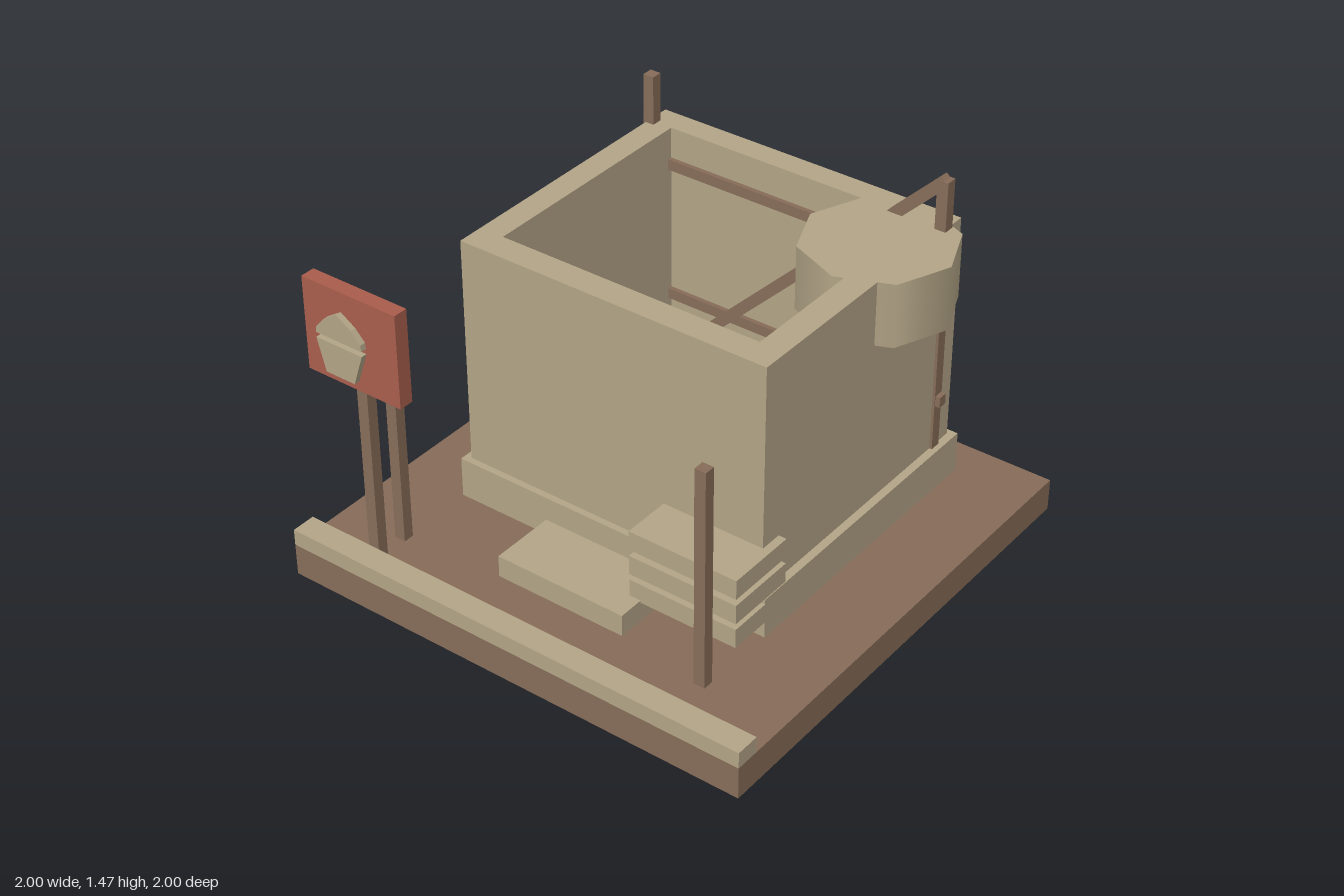
import * as THREE from 'three';

export function createModel() {
  const model = new THREE.Group();
  const flat = (name, color) => {
    const m = new THREE.MeshStandardMaterial({ color });
    m.name = name;
    return m;
  };
  const clay = flat('clay', 0xb2a486);
  const wood = flat('wood', 0x866c58);
  const red = flat('red', 0xa85d4c);

  const add = (name, geometry, material) => {
    const mesh = new THREE.Mesh(geometry, material);
    mesh.name = name;
    model.add(mesh);
    return mesh;
  };
  // box given by its extents on each axis
  const box = (name, material, [x0, x1], [y0, y1], [z0, z1]) => {
    const mesh = add(name, new THREE.BoxGeometry(x1 - x0, y1 - y0, z1 - z0), material);
    mesh.position.set((x0 + x1) / 2, (y0 + y1) / 2, (z0 + z1) / 2);
    return mesh;
  };
  const outline = (points) => points.map(([x, y]) => new THREE.Vector2(x, y));
  const plate = (name, points, depth, material, holes = []) => {
    const shape = new THREE.Shape(outline(points));
    holes.forEach((h) => shape.holes.push(new THREE.Path(outline(h))));
    return add(name, new THREE.ExtrudeGeometry(shape, { depth, bevelEnabled: false }), material);
  };

  // ground slab and kerb
  box('ground', wood, [-1, 1], [0, 0.133], [-1, 1]);
  box('kerb', clay, [-1, 1], [0.133, 0.2], [0.9, 1]);

  // floating plinth and open-topped walls
  box('plinth', clay, [-0.69, 0.69], [0.153, 0.32], [-0.82, 0.42]);
  const walls = plate('walls',
    [[-0.663, -0.393], [0.657, -0.393], [0.657, 0.797], [-0.663, 0.797]], 0.94, clay,
    [[[-0.56, -0.283], [-0.56, 0.697], [0.55, 0.697], [0.55, -0.283]]]);
  walls.rotation.x = -Math.PI / 2;
  walls.position.y = 0.32;

  // eight-sided corner platform, corners on the x axis
  const platform = add('cornerPlatform',
    new THREE.CylinderGeometry(0.297, 0.297, 0.26, 8).rotateY(Math.PI / 2), clay);
  platform.position.set(0.51, 1.13, -0.495);

  // doorstep and stacked slabs
  box('doorstep', clay, [-0.28, 0.28], [0.14, 0.23], [0.43, 0.7]);
  for (const y of [0.22, 0.325, 0.432]) {
    box('stackedSlab', clay, [0.23, 0.69], [y, y + 0.08], [0.3, 0.593]);
  }

  // timber frame along the back wall: posts, rails and one diagonal brace
  for (const x of [-0.65, 0.645]) {
    box('backPost', wood, [x - 0.023, x + 0.023], [0.32, 1.46], [-0.72, -0.675]);
  }
  for (const y of [0.535, 1.11]) {
    box('backRail', wood, [-0.688, 0.688], [y - 0.022, y + 0.022], [-0.717, -0.678]);
  }
  const brace = plate('diagonalBrace',
    [[-0.52, 0.32], [-0.457, 0.32], [0.665, 1.442], [0.633, 1.474]], 0.04, wood);
  brace.position.z = -0.718;

  // front posts
  for (const x of [-0.677, 0.677]) {
    box('frontPost', wood, [x - 0.023, x + 0.023], [0.175, 1.08], [0.741, 0.785]);
  }

  // sign with a floating cake emblem
  box('signPost', wood, [-0.727, -0.68], [0.133, 1.1], [0.85, 0.895]);
  box('signBoard', red, [-0.915, -0.49], [0.91, 1.29], [0.87, 0.93]);
  plate('cakeTop', [[-0.806, 1.135], [-0.597, 1.135], [-0.6, 1.16], [-0.64, 1.203],
    [-0.704, 1.243], [-0.765, 1.203], [-0.803, 1.16]], 0.024, clay).position.z = 0.966;
  plate('cakeCup', [[-0.77, 0.986], [-0.64, 0.986], [-0.597, 1.115], [-0.806, 1.115]],
    0.024, clay).position.z = 0.966;

  return model;
}
